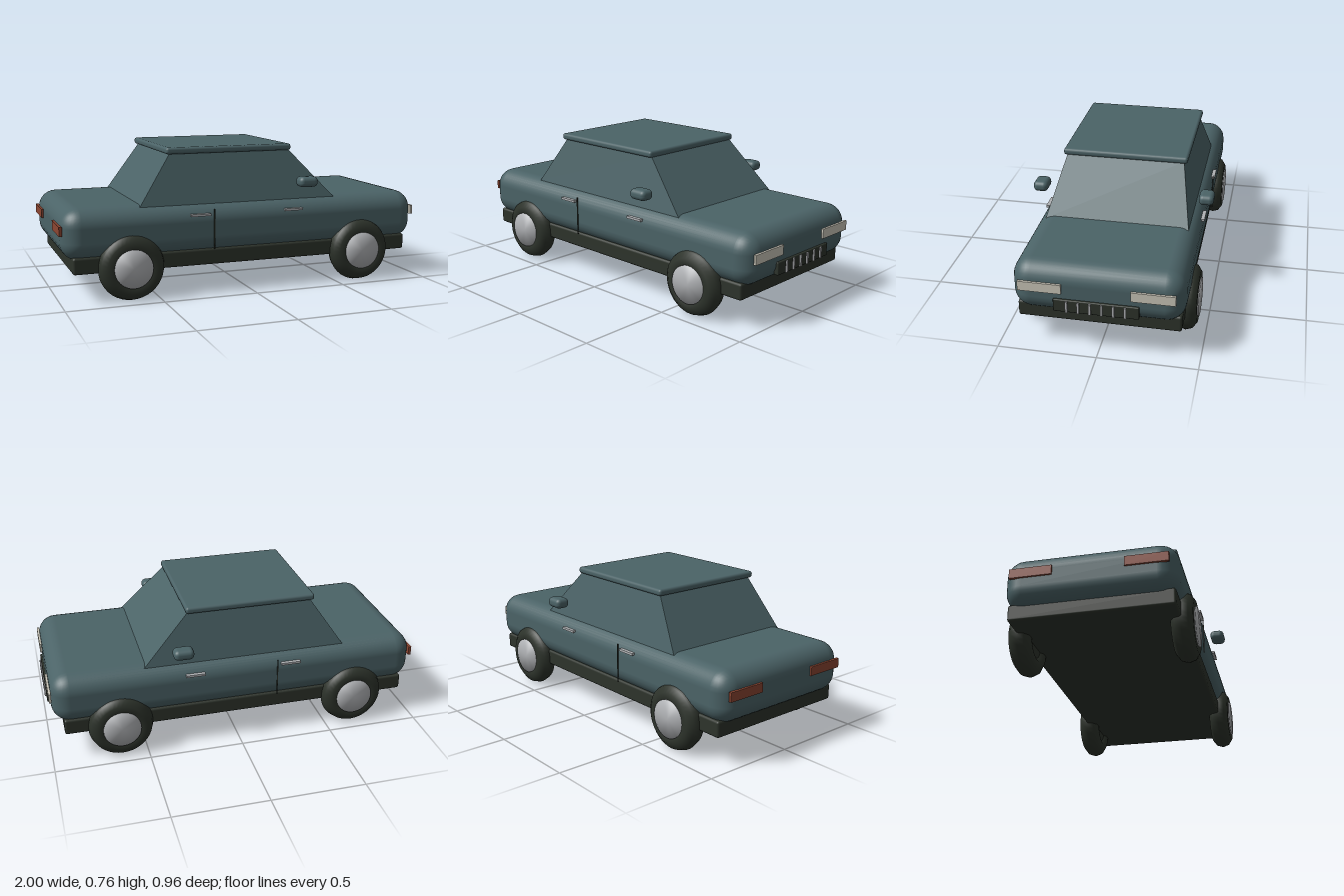
import * as THREE from 'three';
import { RoundedBoxGeometry } from 'three/addons/geometries/RoundedBoxGeometry.js';
import { mergeVertices } from 'three/addons/utils/BufferGeometryUtils.js';

const paint = (name, color) => {
  const m = new THREE.MeshStandardMaterial({ color });
  m.name = name;
  return m;
};

export function createModel() {
  const car = new THREE.Group();
  car.name = 'car';
  const teal = paint('tealPaint', 0x4b6367);
  const dark = paint('darkTrim', 0x2d332b);
  const chrome = paint('chrome', 0xb0b2b5);
  const cream = paint('headlightCream', 0xcbc7ba);
  const red = paint('tailRed', 0x8c4632);

  const add = (name, geometry, material, parent = car) => {
    const mesh = new THREE.Mesh(geometry, material);
    mesh.name = name;
    parent.add(mesh);
    return mesh;
  };
  // Box given by its limits on each axis, optionally rounded
  const block = (name, material, [x0, x1], [y0, y1], [z0, z1], radius = 0, segments = 3) => {
    const size = [x1 - x0, y1 - y0, z1 - z0];
    const geometry = radius
      ? new RoundedBoxGeometry(...size, segments, radius)
      : new THREE.BoxGeometry(...size);
    const mesh = add(name, geometry, material);
    mesh.position.set((x0 + x1) / 2, (y0 + y1) / 2, (z0 + z1) / 2);
    return mesh;
  };

  // Body shell and chassis
  block('body', teal, [-0.99, 0.98], [0.21, 0.475], [-0.423, 0.423], 0.095, 4);
  block('chassis', dark, [-0.94, 0.925], [0.15, 0.235], [-0.405, 0.405], 0.012, 2);

  // Cabin: a box tapered towards the roof
  const cabin = new THREE.BoxGeometry(1, 1, 1).toNonIndexed();
  const p = cabin.attributes.position;
  for (let i = 0; i < p.count; i++) {
    const top = p.getY(i) > 0;
    const front = p.getX(i) > 0;
    const x = top ? (front ? 0.245 : -0.41) : (front ? 0.495 : -0.59);
    p.setXYZ(i, x, top ? 0.73 : 0.465, Math.sign(p.getZ(i)) * (top ? 0.31 : 0.373));
  }
  cabin.computeVertexNormals();
  add('cabin', cabin, teal);
  block('roof', teal, [-0.435, 0.26], [0.722, 0.757], [-0.33, 0.33], 0.014, 2);

  // Wheels: tyre, inner plug and softly shaded hubcap
  const tyre = new THREE.TorusGeometry(0.114, 0.057, 10, 40);
  const plug = new THREE.CylinderGeometry(0.08, 0.08, 0.07, 24).rotateX(Math.PI / 2);
  let cap = new THREE.CylinderGeometry(0.099, 0.099, 0.06, 32).rotateX(Math.PI / 2);
  cap.deleteAttribute('normal');
  cap.deleteAttribute('uv');
  cap = mergeVertices(cap);
  cap.computeVertexNormals();
  for (const x of [-0.645, 0.635]) {
    for (const side of [1, -1]) {
      const wheel = new THREE.Group();
      wheel.name = (x > 0 ? 'front' : 'rear') + 'Wheel';
      wheel.position.set(x, 0.171, side * 0.401);
      if (side < 0) wheel.rotation.y = Math.PI;
      add('tyre', tyre, dark, wheel);
      add('wheelPlug', plug, dark, wheel).position.z = -0.005;
      add('hubcap', cap, chrome, wheel).position.z = 0.031;
      car.add(wheel);
    }
  }

  // Paired fittings on both sides
  for (const s of [1, -1]) {
    const span = (a, b) => (s > 0 ? [a, b] : [-b, -a]);
    block('mirror', teal, [0.25, 0.355], [0.537, 0.592], span(0.402, 0.48), 0.024);
    block('rearDoorHandle', chrome, [-0.335, -0.23], [0.411, 0.423], span(0.41, 0.432));
    block('frontDoorHandle', chrome, [0.185, 0.285], [0.411, 0.423], span(0.41, 0.432));
    block('doorSeam', dark, [-0.212, -0.207], [0.235, 0.443], span(0.423, 0.428));
    block('headlight', cream, [0.977, 0.99], [0.34, 0.39], span(0.168, 0.382));
    block('tailLight', red, [-1, -0.985], [0.345, 0.393], span(0.175, 0.385));
  }

  // Grille with six upright bars
  block('grille', dark, [0.965, 0.992], [0.243, 0.31], [-0.209, 0.209], 0.005, 2);
  for (let i = 0; i < 6; i++) {
    const z = (i - 2.5) * 0.057;
    block('grilleBar', chrome, [0.985, 1], [0.246, 0.305], [z - 0.0055, z + 0.0055]);
  }
  return car;
}
